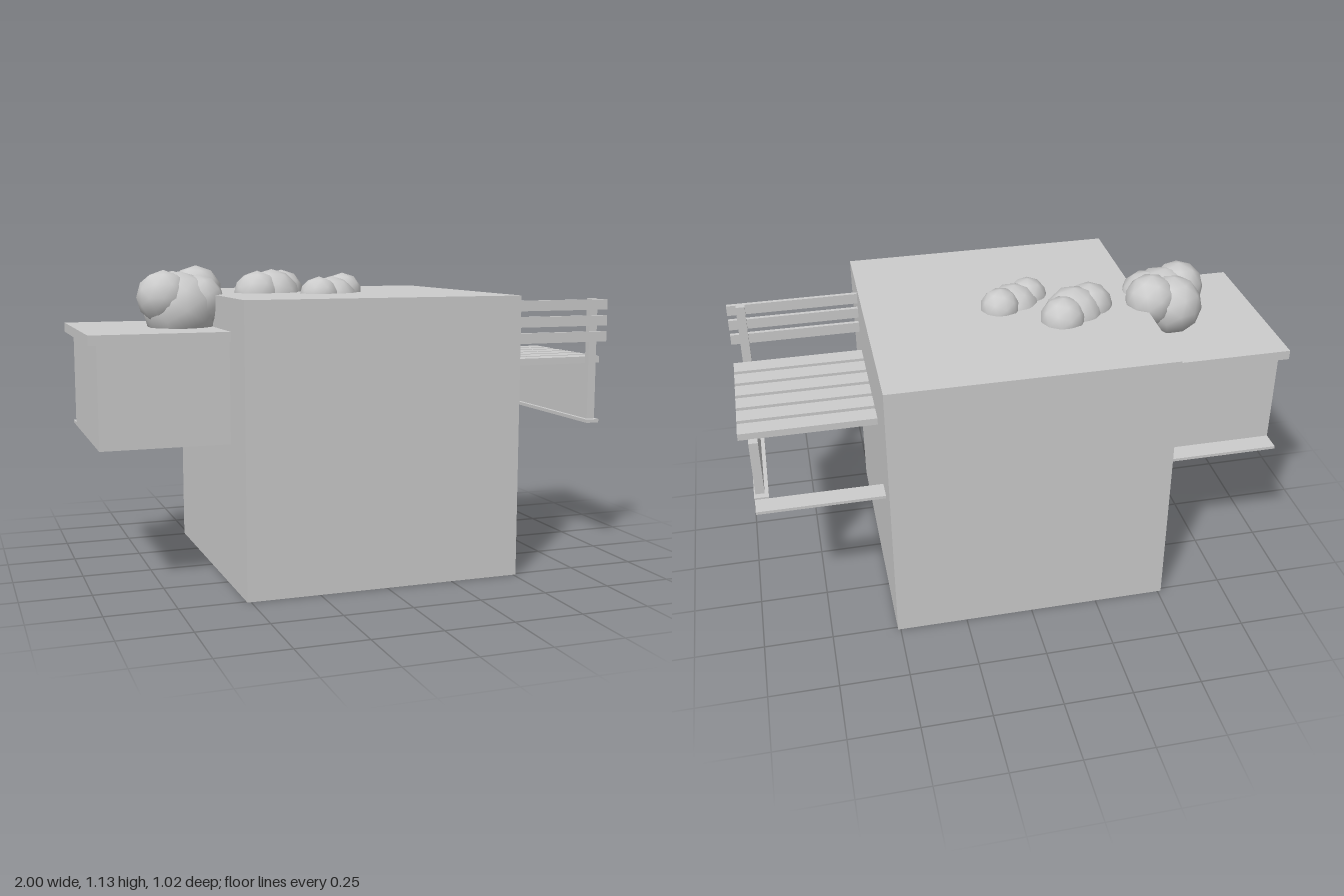
import * as THREE from 'three';

export function createModel() {
  const root = new THREE.Group();
  const grey = new THREE.MeshStandardMaterial({ color: 0xcccccc });
  grey.name = 'light grey';

  const group = (name) => {
    const g = new THREE.Group();
    g.name = name;
    root.add(g);
    return g;
  };

  // Box given by its lower and upper limits on each axis
  const box = (parent, name, [x0, x1], [y0, y1], [z0, z1]) => {
    const mesh = new THREE.Mesh(new THREE.BoxGeometry(x1 - x0, y1 - y0, z1 - z0), grey);
    mesh.position.set((x0 + x1) / 2, (y0 + y1) / 2, (z0 + z1) / 2);
    mesh.name = name;
    parent.add(mesh);
  };

  // Central block
  box(root, 'centralBlock', [-0.513, 0.51], [0, 1.028], [-0.513, 0.511]);

  // Slatted bench on the left side
  const bench = group('bench');
  for (let i = 0; i < 6; i++) {
    const z = -0.217 + i * 0.0865;
    box(bench, 'seatSlat', [0.4, 1], [0.745, 0.771], [z - 0.034, z + 0.034]);
  }
  for (let i = 0; i < 3; i++) {
    const y = 0.977 - i * 0.062;
    box(bench, 'backSlat', [0.4, 1], [y - 0.02, y + 0.02], [0.283, 0.298]);
  }
  box(bench, 'backPost', [0.932, 0.965], [0.74, 1], [0.258, 0.283]);
  box(bench, 'sidePanel', [0.932, 0.965], [0.52, 0.746], [-0.281, 0.283]);
  box(bench, 'foot', [0.918, 0.97], [0.516, 0.529], [-0.305, 0.307]);

  // Thin floor plank running behind both sides
  box(root, 'floorPlank', [-0.97, 0.968], [0.515, 0.526], [-0.384, -0.31]);

  // Counter on the right side
  const counter = group('counter');
  box(counter, 'counterBody', [-0.97, -0.4], [0.515, 0.876], [-0.31, 0.31]);
  box(counter, 'counterTop', [-1, -0.4], [0.876, 0.911], [-0.335, 0.33]);

  // Bushes: clusters of faceted balls, [x, y, z, radius]
  const bushes = {
    largeBush: [
      [-0.625, 0.975, 0.02, 0.137], [-0.545, 1.035, -0.065, 0.096],
      [-0.688, 1.02, 0.045, 0.098], [-0.635, 1.0, -0.055, 0.112],
      [-0.56, 1.0, 0.03, 0.1],
    ],
    mediumBush: [
      [-0.25, 1.005, -0.07, 0.11], [-0.193, 1.027, -0.13, 0.084],
      [-0.315, 1.02, -0.04, 0.09],
    ],
    smallBush: [
      [-0.05, 0.99, 0.05, 0.1], [0.01, 1.026, 0.004, 0.075],
      [-0.112, 1.015, 0.09, 0.075],
    ],
  };
  const ball = new THREE.IcosahedronGeometry(1, 1);
  for (const [name, balls] of Object.entries(bushes)) {
    const bush = group(name);
    balls.forEach(([x, y, z, r], i) => {
      const mesh = new THREE.Mesh(ball, grey);
      mesh.position.set(x, y, z);
      mesh.scale.setScalar(r);
      mesh.rotation.y = i * 0.7;
      mesh.name = 'foliage';
      bush.add(mesh);
    });
  }

  return root;
}
